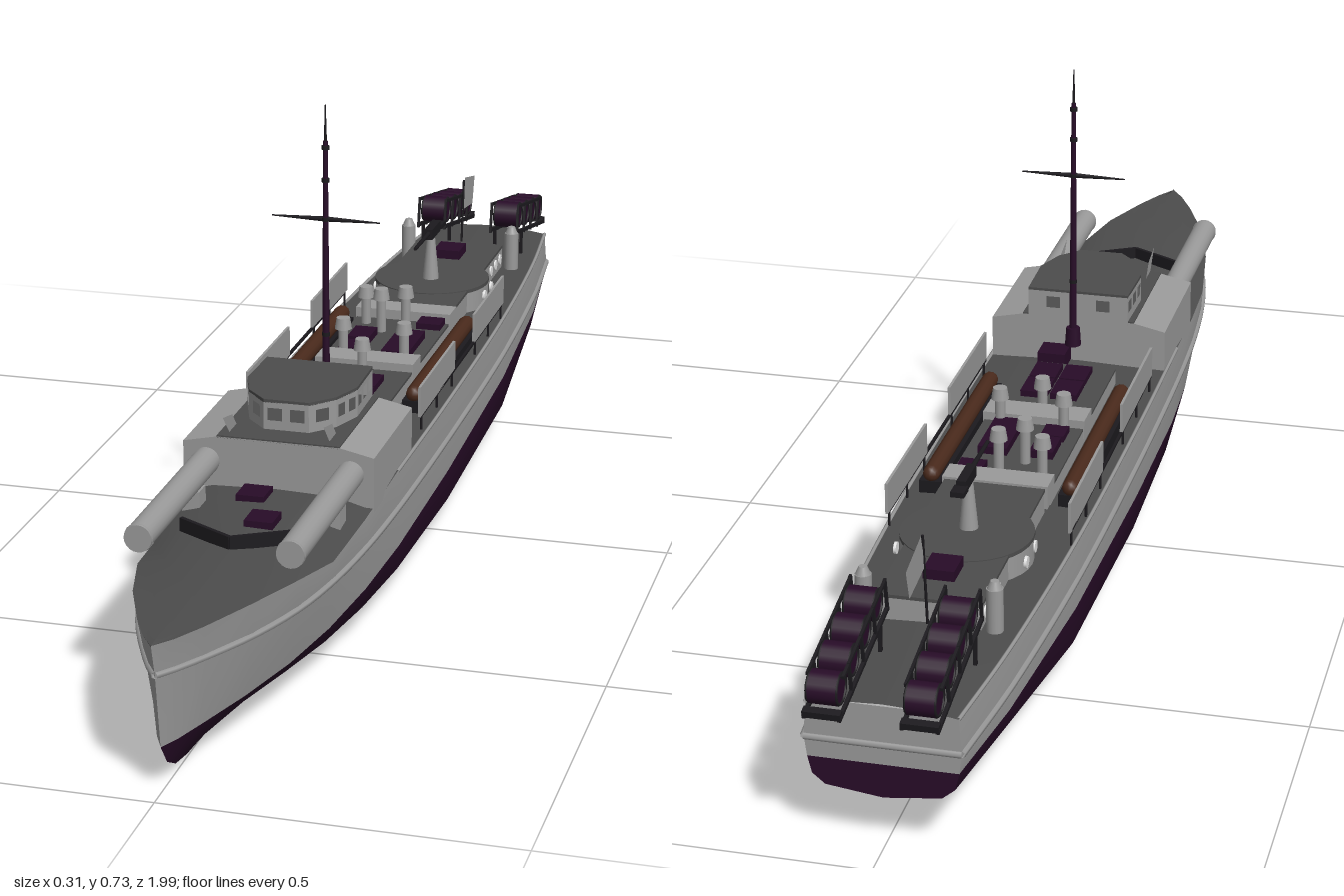
import * as THREE from 'three';

const mat = (name, color, side = THREE.FrontSide) => {
  const m = new THREE.MeshStandardMaterial({ color, side });
  m.name = name;
  return m;
};

export function createModel() {
  const root = new THREE.Group();
  root.name = 'patrolBoat';
  const grey = mat('hull grey', 0x9a9a9a, THREE.DoubleSide);
  const deckGrey = mat('deck grey', 0x4c4c4c, THREE.DoubleSide);
  const purple = mat('antifouling purple', 0x280c28);
  const brown = mat('raft brown', 0x4a2a1c);
  const black = mat('fittings black', 0x1c1a1e);
  const pale = mat('porthole pale', 0xe4e4e4);

  const add = (name, geo, m, x = 0, y = 0, z = 0, parent = root) => {
    const mesh = new THREE.Mesh(geo, m);
    mesh.name = name;
    mesh.position.set(x, y, z);
    parent.add(mesh);
    return mesh;
  };
  const box = (name, m, w, h, d, x, y, z, p) => add(name, new THREE.BoxGeometry(w, h, d), m, x, y, z, p);
  const cyl = (name, m, r1, r2, h, x, y, z, n = 14, p = root) =>
    add(name, new THREE.CylinderGeometry(r1, r2, h, n), m, x, y, z, p);
  const both = (fn) => [1, -1].forEach(fn);

  // Surface through rows of points that share the same stations
  const loft = (name, rows, m) => {
    const n = rows[0].length, pos = [], idx = [];
    rows.forEach((r) => r.forEach((p) => pos.push(p.x, p.y, p.z)));
    for (let i = 0; i < rows.length - 1; i++) for (let j = 0; j < n - 1; j++) {
      const a = i * n + j, b = a + n;
      idx.push(a, b, a + 1, b, b + 1, a + 1);
    }
    const g = new THREE.BufferGeometry();
    g.setAttribute('position', new THREE.Float32BufferAttribute(pos, 3));
    g.setIndex(idx);
    g.computeVertexNormals();
    return add(name, g, m);
  };

  // Hull stations from stern to bow; every row ends on the raked stem
  const U = [-0.94, -0.75, -0.42, 0, 0.3, 0.46, 0.6, 0.72, 0.83, 0.92, 0.97, 1];
  const row = (zBow, half, ys) => U.map((u, i) => new THREE.Vector3(
    half[i], typeof ys === 'function' ? ys(u) : ys[i], -0.94 + (u + 0.94) / 1.94 * (zBow + 0.94)));
  const flip = (r) => r.map((p) => new THREE.Vector3(-p.x, p.y, p.z));
  const keel = row(0.86, U.map(() => 0), [0.075, 0.066, 0.012, 0.003, 0, 0, 0, 0, 0, 0.001, 0.002, 0.004]);
  const chineLow = row(0.91, [0.08, 0.1, 0.12, 0.12, 0.112, 0.098, 0.08, 0.056, 0.034, 0.016, 0.007, 0],
    [0.085, 0.077, 0.03, 0.022, 0.022, 0.023, 0.025, 0.026, 0.026, 0.022, 0.018, 0.013]);
  const chineHigh = row(0.945, [0.098, 0.12, 0.14, 0.143, 0.136, 0.124, 0.106, 0.082, 0.054, 0.027, 0.012, 0],
    [0.1, 0.093, 0.055, 0.042, 0.042, 0.044, 0.047, 0.05, 0.05, 0.045, 0.04, 0.032]);
  const water = row(0.97, [0.104, 0.125, 0.143, 0.147, 0.143, 0.134, 0.118, 0.095, 0.064, 0.033, 0.015, 0],
    (u) => 0.066 + (0.97 - u) * 0.031);
  const rub = row(0.987, [0.108, 0.127, 0.144, 0.149, 0.147, 0.142, 0.131, 0.112, 0.08, 0.042, 0.018, 0],
    (u) => 0.155 + 0.02 * Math.max(0, u) ** 3);
  const sheer = row(1, [0.104, 0.123, 0.14, 0.146, 0.145, 0.14, 0.131, 0.114, 0.083, 0.046, 0.021, 0],
    [0.207, 0.209, 0.211, 0.212, 0.212, 0.2, 0.19, 0.209, 0.218, 0.22, 0.221, 0.222]);
  const inner = sheer.map((p) => new THREE.Vector3(p.x * 0.62, 0.213 + 0.008 * Math.max(0, p.z) ** 2, p.z));
  const mid = inner.map((p) => new THREE.Vector3(0, p.y + 0.003, p.z));
  loft('hullBottom', [flip(water), flip(chineHigh), flip(chineLow), keel, chineLow, chineHigh, water], purple);
  loft('rightHullSide', [flip(sheer), flip(rub), flip(water)], grey);
  loft('leftHullSide', [water, rub, sheer], grey);
  loft('deck', [sheer, inner, mid, flip(inner), flip(sheer)], deckGrey);

  // Transom in two colours
  const transom = (name, rows, m) => {
    const pts = rows.map((r) => new THREE.Vector2(r[0].x, r[0].y));
    const back = pts.slice().reverse().map((p) => new THREE.Vector2(-p.x, p.y));
    add(name, new THREE.ShapeGeometry(new THREE.Shape([...pts, ...back])), m, 0, 0, -0.94).rotation.y = Math.PI;
  };
  transom('transomBottom', [keel, chineLow, chineHigh, water], purple);
  transom('transomTop', [water, rub, sheer, inner], grey);
  box('keelGrating', grey, 0.02, 0.012, 0.16, 0, 0.009, -0.37);

  // Rubbing strakes and deck edge rails
  const rail = (name, pts, r) => add(name, new THREE.TubeGeometry(new THREE.CatmullRomCurve3(pts), 60, r, 6), grey);
  [rub, flip(rub)].forEach((r) => rail('rubRail', r, 0.005));
  [sheer, flip(sheer)].forEach((r) => rail('deckEdgeRail', r.slice(0, 5), 0.003));
  rail('transomRail', [rub[0], flip(rub)[0]], 0.005);

  // Forward deckhouse with sloping shoulders
  const house = new THREE.Shape([[-0.143, 0.2], [0.143, 0.2], [0.143, 0.283], [0.092, 0.294], [-0.092, 0.294], [-0.143, 0.283]]
    .map((p) => new THREE.Vector2(...p)));
  add('deckhouse', new THREE.ExtrudeGeometry(house, { depth: 0.22, bevelEnabled: false }), grey, 0, -0.004, 0.207);
  box('deckhouseTop', deckGrey, 0.184, 0.004, 0.22, 0, 0.29, 0.317);

  // Wheelhouse: wall panels with open windows under a flat roof
  const plan = [[0.082, 0.205], [0.084, 0.3], [0.066, 0.35], [0.034, 0.384], [-0.034, 0.384], [-0.066, 0.35], [-0.084, 0.3], [-0.082, 0.205]];
  const panes = [3, 2, 1, 2, 1, 2, 3, 2];
  plan.forEach((a, i) => {
    const b = plan[(i + 1) % plan.length], dx = b[0] - a[0], dz = b[1] - a[1], len = Math.hypot(dx, dz);
    const rect = (T, x0, x1, y0, y1) => new T([[x0, y0], [x1, y0], [x1, y1], [x0, y1]].map((p) => new THREE.Vector2(...p)));
    const s = rect(THREE.Shape, -len / 2, len / 2, 0.285, 0.334);
    const step = len / panes[i];
    for (let k = 0; k < panes[i]; k++) {
      const c = -len / 2 + step * (k + 0.5), w = Math.min(step * 0.32, 0.011);
      s.holes.push(rect(THREE.Path, c - w, c + w, 0.306, 0.325));
    }
    add('wheelhouseWall', new THREE.ShapeGeometry(s), grey, (a[0] + b[0]) / 2, 0, (a[1] + b[1]) / 2)
      .rotation.y = Math.atan2(dz, -dx);
  });
  const roofShape = new THREE.Shape(plan.map((p) => new THREE.Vector2(p[0], -p[1])));
  add('wheelhouseRoof', new THREE.ExtrudeGeometry(roofShape, { depth: 0.005, bevelEnabled: false }), deckGrey, 0, 0.333, 0)
    .rotation.x = -Math.PI / 2;

  both((s) => {
    // Launch tube with domed rear fairing and muzzle ring
    const tube = cyl('launchTube', grey, 0.02, 0.02, 0.38, s * 0.108, 0.252, 0.545, 20);
    tube.rotation.x = Math.PI / 2;
    const ring = add('muzzleRing', new THREE.TorusGeometry(0.019, 0.002, 6, 20), grey, s * 0.108, 0.252, 0.73);
    ring.scale.z = 0.6;
    box('tubeCradle', grey, 0.026, 0.04, 0.03, s * 0.104, 0.217, 0.5);

    // Angled wind deflector beside the wheelhouse
    const d = new THREE.Shape([[0.385, 0.296], [0.42, 0.296], [0.45, 0.328], [0.405, 0.318]].map((p) => new THREE.Vector2(-p[0], p[1])));
    add('windDeflector', new THREE.ShapeGeometry(d), grey, s * 0.075).rotation.y = Math.PI / 2;

    // Side screens along the deck
    box('forwardScreen', grey, 0.004, 0.048, 0.225, s * 0.136, 0.26, 0.02);
    box('aftScreen', grey, 0.004, 0.048, 0.215, s * 0.136, 0.26, -0.335);
    [0.12, 0.02, -0.08, -0.24, -0.335, -0.43].forEach((z) => cyl('screenPost', black, 0.002, 0.002, 0.03, s * 0.136, 0.224, z, 5));
    box('screenRail', black, 0.004, 0.004, 0.56, s * 0.136, 0.236, -0.15);

    // Long raft on a dark bed
    const raft = add('raft', new THREE.CapsuleGeometry(0.013, 0.35, 4, 10), brown, s * 0.106, 0.241, -0.13);
    raft.rotation.x = Math.PI / 2;
    box('raftBed', black, 0.034, 0.02, 0.37, s * 0.106, 0.222, -0.13);

    // Smoke canister
    cyl('smokeCanister', grey, 0.012, 0.012, 0.065, s * 0.093, 0.245, -0.705);
    cyl('canisterCap', grey, 0.006, 0.011, 0.012, s * 0.093, 0.283, -0.705);

    // Breakwater half
    const bw = box('breakwater', black, 0.1, 0.02, 0.006, s * 0.043, 0.228, 0.637);
    bw.rotation.y = s * 0.52;

    // Sloping stern rack with drums
    const rack = new THREE.Group();
    rack.name = 'drumRack';
    rack.position.set(s * 0.066, 0.262, -0.882);
    rack.rotation.x = -0.2;
    root.add(rack);
    for (let k = 0; k < 4; k++) {
      const z = 0.087 - k * 0.058;
      cyl('drum', purple, 0.023, 0.023, 0.04, 0, 0.004, z, 16, rack).rotation.z = Math.PI / 2;
      both((e) => {
        add('drumRim', new THREE.TorusGeometry(0.021, 0.0025, 5, 16), black, e * 0.02, 0.004, z, rack).rotation.y = Math.PI / 2;
        box('rackPost', black, 0.004, 0.054, 0.005, e * 0.024, -0.002, z + 0.029, rack);
      });
    }
    both((e) => {
      box('rackLowRail', black, 0.005, 0.006, 0.235, e * 0.024, -0.024, 0, rack);
      box('rackHighRail', black, 0.004, 0.005, 0.2, e * 0.024, 0.022, 0.014, rack);
      box('rackLeg', black, 0.005, 0.045, 0.006, s * 0.066 + e * 0.024, 0.23, -0.8);
    });
    box('rackLip', black, 0.052, 0.01, 0.012, 0, -0.02, -0.112, rack);
  });

  // Engine casing with raised light cross trunks
  box('engineCasing', grey, 0.156, 0.03, 0.45, 0, 0.222, -0.09);
  box('casingTop', deckGrey, 0.156, 0.004, 0.45, 0, 0.238, -0.09);
  box('midTrunk', grey, 0.16, 0.03, 0.05, 0, 0.238, -0.075);
  box('aftTrunk', grey, 0.16, 0.036, 0.045, 0, 0.238, -0.32);

  // Dark hatches: x, z, width, depth, top height
  [[-0.024, 0.085, 0.042, 0.055, 0.25], [0.024, 0.085, 0.042, 0.055, 0.25], [-0.024, 0.025, 0.042, 0.055, 0.25],
    [0.024, 0.025, 0.042, 0.055, 0.25], [-0.04, -0.19, 0.036, 0.055, 0.252], [0.035, -0.165, 0.045, 0.11, 0.252],
    [-0.042, -0.135, 0.036, 0.04, 0.25], [0.052, -0.28, 0.04, 0.04, 0.25], [0, -0.63, 0.045, 0.05, 0.268],
    [-0.026, 0.46, 0.042, 0.045, 0.226], [0.015, 0.555, 0.042, 0.045, 0.228], [0.03, 0.165, 0.045, 0.045, 0.252]]
    .forEach(([x, z, w, d, top]) => box('hatch', purple, w, 0.026, d, x, top - 0.013, z));

  // Ventilators with mushroom caps: x, z, top height
  [[0, -0.04, 0.29], [0.05, -0.11, 0.298], [-0.05, -0.11, 0.298], [-0.02, -0.235, 0.31], [0.012, -0.27, 0.305], [-0.055, -0.27, 0.3]]
    .forEach(([x, z, top]) => {
      cyl('ventPipe', grey, 0.008, 0.008, top - 0.23, x, (top + 0.23) / 2, z, 12);
      cyl('ventCap', grey, 0.011, 0.014, 0.018, x, top - 0.006, z, 12);
    });

  // Aft cabin with round gun platform and portholes
  box('aftCabin', grey, 0.15, 0.045, 0.37, 0, 0.226, -0.525);
  box('aftCabinTop', deckGrey, 0.152, 0.005, 0.372, 0, 0.25, -0.525);
  cyl('platform', grey, 0.096, 0.096, 0.045, 0, 0.226, -0.5, 32);
  cyl('platformTop', deckGrey, 0.097, 0.097, 0.006, 0, 0.251, -0.5, 32);
  both((s) => [-0.62, -0.655, -0.69].forEach((z) => cyl('porthole', pale, 0.009, 0.009, 0.004, s * 0.0755, 0.232, z).rotation.z = Math.PI / 2));
  both((s) => [-0.485, -0.535].forEach((z) => cyl('porthole', pale, 0.009, 0.009, 0.004, s * 0.0955, 0.232, z).rotation.z = Math.PI / 2));

  // Gun on a pedestal, barrel forward
  cyl('gunPedestal', grey, 0.007, 0.014, 0.075, 0, 0.288, -0.49);
  box('gunBody', black, 0.014, 0.018, 0.06, 0, 0.336, -0.5);
  cyl('gunBarrel', black, 0.003, 0.004, 0.1, 0, 0.338, -0.43, 8).rotation.x = Math.PI / 2;
  box('gunStock', black, 0.02, 0.008, 0.025, 0, 0.334, -0.54);

  // Mast with yard and collars
  cyl('mastBase', purple, 0.011, 0.013, 0.03, 0, 0.275, 0.17, 10);
  cyl('mast', purple, 0.0035, 0.006, 0.4, 0, 0.47, 0.17, 10);
  cyl('topmast', black, 0.0008, 0.0025, 0.06, 0, 0.695, 0.17, 6);
  [0.37, 0.55, 0.61, 0.66].forEach((y) => cyl('mastCollar', black, 0.006, 0.006, 0.006, 0, y, 0.17, 8));
  both((s) => cyl('yard', black, 0.001, 0.004, 0.083, s * 0.0415, 0.55, 0.17, 6).rotation.z = -s * Math.PI / 2);

  // Stern ensign plate on its staff
  const flag = new THREE.Shape([[0.72, 0.308], [0.8, 0.298], [0.815, 0.345], [0.74, 0.362]].map((p) => new THREE.Vector2(...p)));
  add('ensign', new THREE.ShapeGeometry(flag), grey).rotation.y = Math.PI / 2;
  cyl('ensignStaff', black, 0.002, 0.002, 0.15, 0, 0.285, -0.722, 6).rotation.x = -0.12;
  return root;
}
